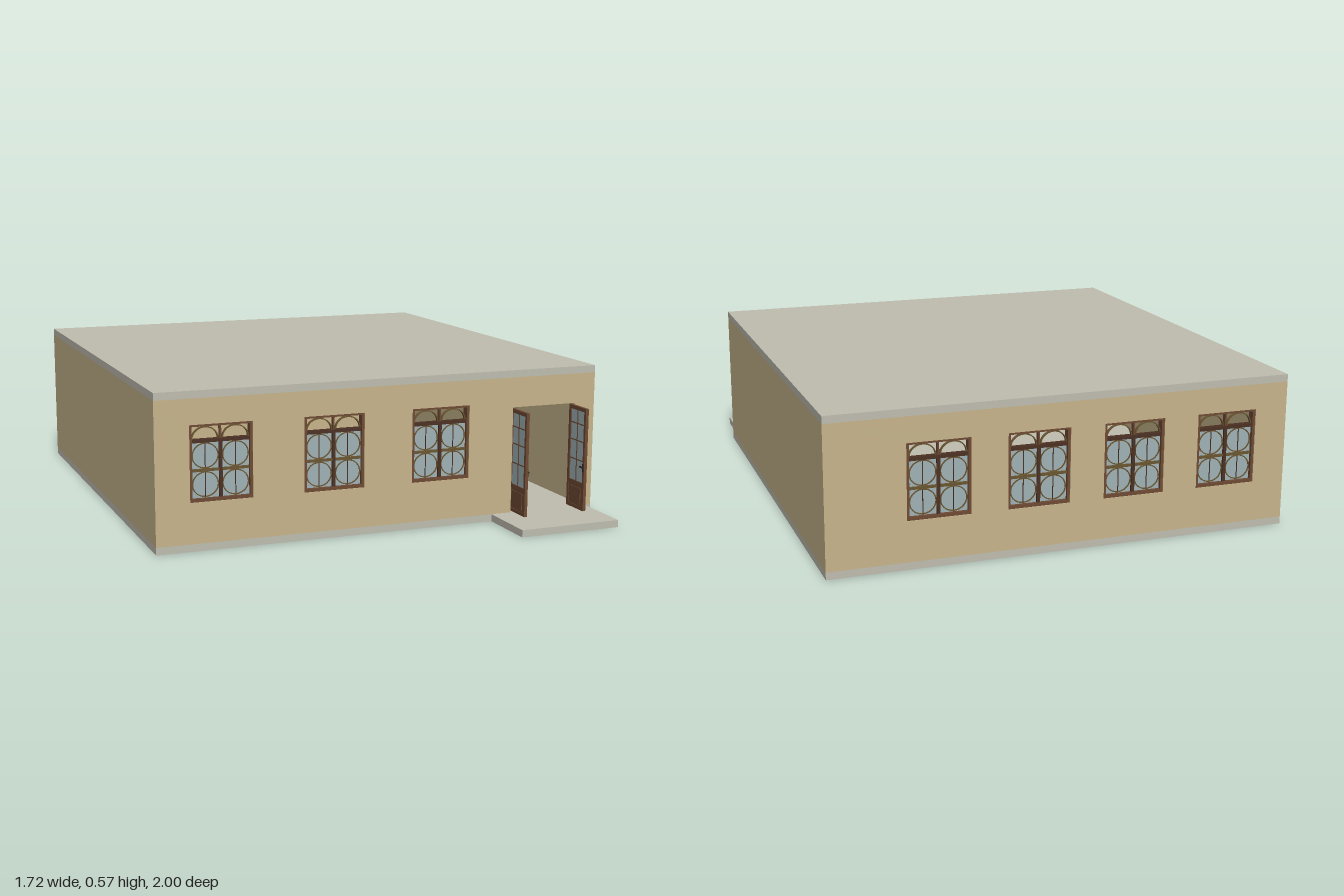
import * as THREE from 'three';

const material = (name, color) => {
  const m = new THREE.MeshStandardMaterial({ color });
  m.name = name;
  return m;
};
const plaster = material('sand plaster', 0xc8b58c);
const concrete = material('grey concrete', 0xc0beb0);
const wood = material('brown wood', 0x6e4a33);
const darkWood = material('dark wood', 0x4c3022);
const lattice = material('olive lattice', 0x6b5630);
const glass = material('pale glass', 0xa0b2b6);
const iron = material('dark iron', 0x2c2826);

const HALF_W = 0.86, FRONT = 0.76, BACK = -1;
const SLAB = 0.027, ROOF_Y = 0.543, TOP = 0.57, THICK = 0.035;
const WIN_W = 0.23, WIN_LOW = 0.175, WIN_HIGH = 0.45;
const DOOR_L = 0.515, DOOR_R = 0.775, DOOR_TOP = 0.43;

// Box given by its lower and upper limits on each axis
function box(parent, name, mat, x0, x1, y0, y1, z0, z1) {
  const mesh = new THREE.Mesh(new THREE.BoxGeometry(x1 - x0, y1 - y0, z1 - z0), mat);
  mesh.position.set((x0 + x1) / 2, (y0 + y1) / 2, (z0 + z1) / 2);
  mesh.name = name;
  parent.add(mesh);
  return mesh;
}

// Wall with window holes and an optional door notch
function wall(name, windows, hasDoor, z) {
  const s = new THREE.Shape();
  s.moveTo(-HALF_W, SLAB);
  if (hasDoor) {
    s.lineTo(DOOR_L, SLAB);
    s.lineTo(DOOR_L, DOOR_TOP);
    s.lineTo(DOOR_R, DOOR_TOP);
    s.lineTo(DOOR_R, SLAB);
  }
  s.lineTo(HALF_W, SLAB);
  s.lineTo(HALF_W, ROOF_Y);
  s.lineTo(-HALF_W, ROOF_Y);
  s.closePath();
  for (const x of windows) {
    const h = new THREE.Path();
    h.moveTo(x - WIN_W / 2, WIN_LOW);
    h.lineTo(x - WIN_W / 2, WIN_HIGH);
    h.lineTo(x + WIN_W / 2, WIN_HIGH);
    h.lineTo(x + WIN_W / 2, WIN_LOW);
    h.closePath();
    s.holes.push(h);
  }
  const mesh = new THREE.Mesh(
    new THREE.ExtrudeGeometry(s, { depth: THICK, bevelEnabled: false }), plaster);
  mesh.position.z = z;
  mesh.name = name;
  return mesh;
}

// Flat elliptical band, either a full ring or an upper arch
function band(rx, ry, end, t) {
  const s = new THREE.Shape();
  s.absellipse(0, 0, rx, ry, 0, end, false);
  if (end < 6) {
    s.absellipse(0, 0, rx - t, ry - t, end, 0, true);
    s.closePath();
  } else {
    const hole = new THREE.Path();
    hole.absellipse(0, 0, rx - t, ry - t, 0, end, true);
    s.holes.push(hole);
  }
  const g = new THREE.ExtrudeGeometry(s, { depth: 0.01, bevelEnabled: false, curveSegments: 14 });
  return g.translate(0, 0, -0.005);
}
const ring = band(0.049, 0.046, Math.PI * 2, 0.004);
const arch = band(0.049, 0.044, Math.PI, 0.004);

function curve(parent, name, geometry, x, y) {
  const mesh = new THREE.Mesh(geometry, lattice);
  mesh.position.set(x, y, 0);
  mesh.name = name;
  parent.add(mesh);
}

// Two-column window: glazed lower panes under an open arched transom
function makeWindow(x, z) {
  const g = new THREE.Group();
  g.name = 'window';
  g.position.set(x, 0, z);
  const w = WIN_W / 2, d = 0.014;
  for (const s of [-1, 1]) {
    const a = s * w, b = s * (w - 0.01);
    box(g, 'windowJamb', wood, Math.min(a, b), Math.max(a, b), WIN_LOW, WIN_HIGH, -d, d);
    const cx = s * 0.055;
    box(g, 'windowPane', glass, cx - 0.05, cx + 0.05, 0.187, 0.384, -0.002, 0.002);
    for (const y of [0.235, 0.337]) curve(g, 'windowRing', ring, cx, y);
    curve(g, 'transomArch', arch, cx, 0.396);
    box(g, 'paneBar', darkWood, cx - 0.0015, cx + 0.0015, 0.187, 0.384, -0.004, 0.004);
  }
  box(g, 'windowSill', wood, -w + 0.01, w - 0.01, WIN_LOW, 0.187, -d, d);
  box(g, 'windowHead', wood, -w + 0.01, w - 0.01, 0.442, WIN_HIGH, -d, d);
  box(g, 'transomBar', darkWood, -w + 0.01, w - 0.01, 0.384, 0.396, -0.011, 0.011);
  box(g, 'centreMullion', darkWood, -0.006, 0.006, 0.187, 0.384, -0.01, 0.01);
  box(g, 'transomMullion', wood, -0.003, 0.003, 0.396, 0.442, -0.008, 0.008);
  box(g, 'middleRail', lattice, -w + 0.01, w - 0.01, 0.281, 0.291, -0.008, 0.008);
  return g;
}

// Door leaf standing open at a right angle to the wall
function doorLeaf(x, inward) {
  const g = new THREE.Group();
  g.name = 'doorLeaf';
  g.position.x = x;
  const z0 = 0.745, z1 = 0.866, y0 = 0.034, y1 = 0.425, t = 0.006;
  box(g, 'doorStile', wood, -t, t, y0, y1, z0, z0 + 0.014);
  box(g, 'doorStile', wood, -t, t, y0, y1, z1 - 0.012, z1);
  for (const [a, b] of [[y0, 0.047], [0.125, 0.14], [0.411, y1]])
    box(g, 'doorRail', wood, -t, t, a, b, z0 + 0.014, z1 - 0.012);
  box(g, 'doorPanel', wood, -0.004, 0.004, 0.047, 0.125, z0 + 0.014, z1 - 0.012);
  box(g, 'raisedPanel', wood, -0.007, 0.007, 0.055, 0.117, z0 + 0.024, z1 - 0.022);
  box(g, 'doorGlass', glass, -0.002, 0.002, 0.14, 0.411, z0 + 0.014, z1 - 0.012);
  for (const y of [0.222, 0.295, 0.36])
    box(g, 'doorBar', wood, -0.004, 0.004, y - 0.002, y + 0.002, z0 + 0.014, z1 - 0.012);
  box(g, 'doorMullion', wood, -0.004, 0.004, 0.14, 0.411, 0.803, 0.807);
  // Handle on the side facing the opening
  const hx = inward * 0.01;
  box(g, 'handlePlate', iron, hx * 0.7 - 0.002, hx * 0.7 + 0.002, 0.185, 0.215, 0.856, 0.863);
  box(g, 'handleLever', iron, hx - 0.003, hx + 0.003, 0.199, 0.204, 0.84, 0.862);
  return g;
}

export function createModel() {
  const model = new THREE.Group();
  model.name = 'pavilion';

  // Slabs
  box(model, 'floorSlab', concrete, -HALF_W, HALF_W, 0, SLAB, BACK, FRONT);
  box(model, 'roofSlab', concrete, -HALF_W, HALF_W, ROOF_Y, TOP, BACK, FRONT);
  box(model, 'porchStep', concrete, 0.435, 0.835, 0, SLAB, FRONT, 1);

  // Walls
  const frontWindows = [-0.62, -0.198, 0.22];
  const backWindows = [-0.622, -0.261, 0.097, 0.46];
  model.add(wall('frontWall', frontWindows, true, FRONT - THICK));
  model.add(wall('backWall', backWindows, false, BACK));
  for (const s of [-1, 1]) {
    const x = s * (HALF_W - THICK / 2);
    box(model, 'sideWall', plaster, x - THICK / 2, x + THICK / 2, SLAB, ROOF_Y,
      BACK + THICK, FRONT - THICK);
  }

  // Windows
  for (const x of frontWindows) model.add(makeWindow(x, FRONT - THICK / 2));
  for (const x of backWindows) model.add(makeWindow(x, BACK + THICK / 2));

  // Open double door
  model.add(doorLeaf(0.521, 1), doorLeaf(0.769, -1));
  return model;
}
